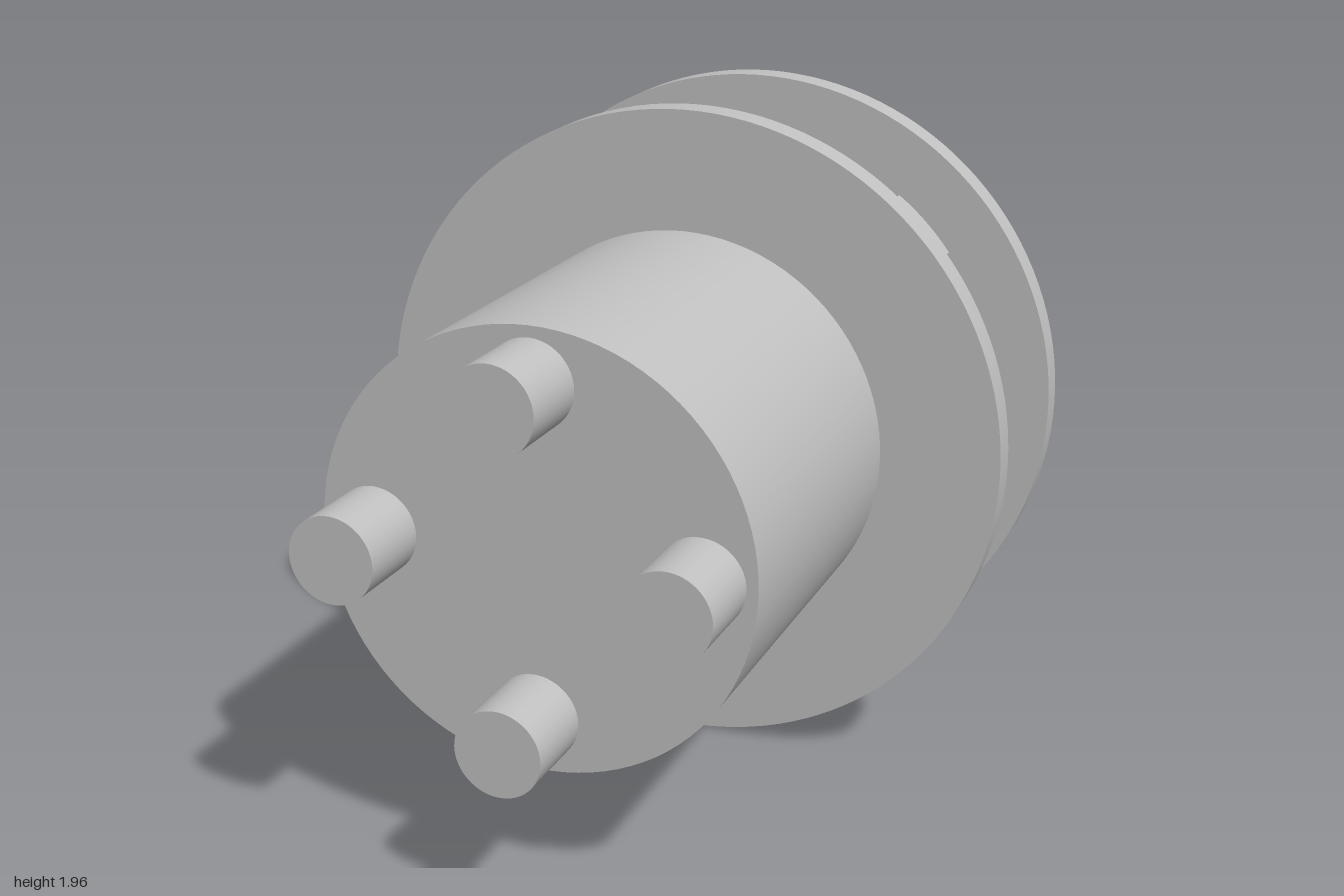
import * as THREE from 'three';

const grey = new THREE.MeshStandardMaterial({ color: 0xc0c0c0 });
grey.name = 'plain grey';

const AXIS_Y = 0.98;

// Solid round part lying along z, from z0 to z1
function rod(name, radius, z0, z1, x = 0, y = 0, segments = 96) {
  const geometry = new THREE.CylinderGeometry(radius, radius, z1 - z0, segments);
  geometry.rotateX(Math.PI / 2);
  const mesh = new THREE.Mesh(geometry, grey);
  mesh.name = name;
  mesh.position.set(x, y, (z0 + z1) / 2);
  return mesh;
}

// Tooth with radial sides and a curved outer face, centred on the given angle
function tooth(angle, inner, outer, halfAngle, z0, z1) {
  const shape = new THREE.Shape();
  shape.absarc(0, 0, outer, angle - halfAngle, angle + halfAngle, false);
  shape.absarc(0, 0, inner, angle + halfAngle, angle - halfAngle, true);
  shape.closePath();
  const geometry = new THREE.ExtrudeGeometry(shape, {
    depth: z1 - z0, bevelEnabled: false, curveSegments: 6,
  });
  const mesh = new THREE.Mesh(geometry, grey);
  mesh.name = 'tooth';
  mesh.position.z = z0;
  return mesh;
}

export function createModel() {
  const model = new THREE.Group();
  model.name = 'toothedHub';
  const hub = new THREE.Group();
  hub.name = 'hub';
  hub.position.y = AXIS_Y;
  model.add(hub);

  // Two flanges with the barrel in front
  hub.add(rod('backFlange', 0.98, -1, -0.907, 0, 0, 128));
  hub.add(rod('frontFlange', 0.98, -0.375, -0.282, 0, 0, 128));
  hub.add(rod('barrel', 0.623, -0.282, 0.765));

  // Toothed ring between the flanges
  hub.add(rod('toothedCore', 0.7, -0.907, -0.375));
  const teeth = new THREE.Group();
  teeth.name = 'teeth';
  for (let i = 0; i < 12; i++) {
    const angle = THREE.MathUtils.degToRad(15 + i * 30);
    teeth.add(tooth(angle, 0.69, 0.795, THREE.MathUtils.degToRad(8.5), -0.907, -0.375));
  }
  hub.add(teeth);

  // Four pegs on the barrel's front face
  for (let i = 0; i < 4; i++) {
    const a = (i * Math.PI) / 2;
    hub.add(rod('peg', 0.124, 0.765, 1, 0.467 * Math.cos(a), 0.467 * Math.sin(a), 48));
  }
  return model;
}
